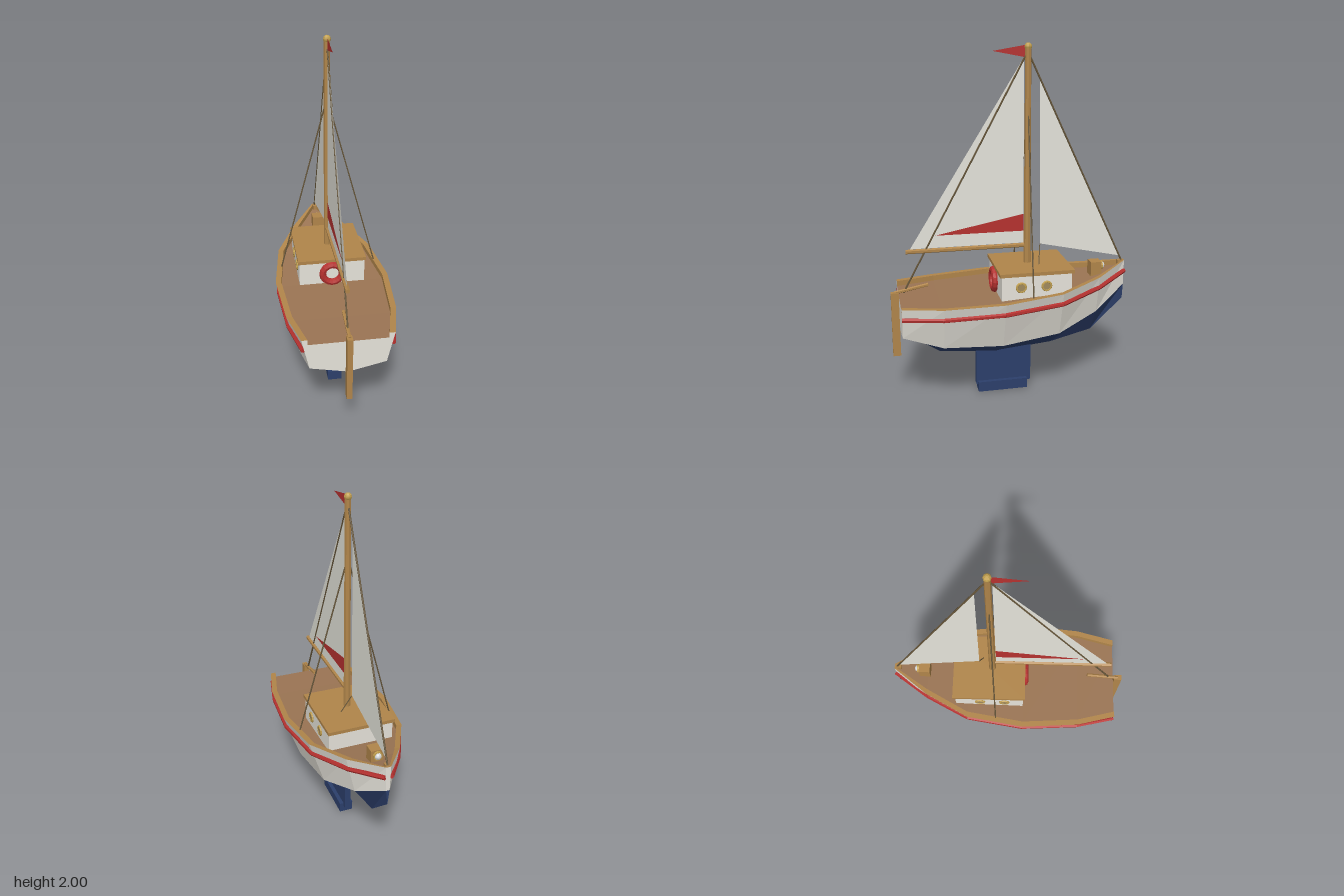
import * as THREE from 'three';

const mat = (name, color) => {
  const m = new THREE.MeshStandardMaterial({ color, flatShading: true, side: THREE.DoubleSide });
  m.name = name;
  return m;
};

// Hull stations, stern to bow: z, sheer half-width, sheer y, chine half-width, chine y, keel y
const STATIONS = [
  [0.64, 0.245, 0.635, 0.205, 0.455, 0.41],
  [0.42, 0.3, 0.635, 0.225, 0.385, 0.265],
  [0.09, 0.325, 0.647, 0.23, 0.37, 0.235],
  [-0.24, 0.278, 0.667, 0.195, 0.4, 0.265],
  [-0.485, 0.155, 0.703, 0.105, 0.48, 0.325],
  [-0.68, 0.014, 0.75, 0.01, 0.6, 0.51],
].map(([z, sx, sy, cx, cy, ky]) => ({ z, sx, sy, cx, cy, ky, ix: Math.max(sx - 0.032, 0.003), dy: sy - 0.03 }));

// Faceted skin through a list of cross-sections
function loft(sections) {
  const w = sections[0].length, index = [];
  for (let i = 0; i < sections.length - 1; i++)
    for (let j = 0; j < w - 1; j++) {
      const a = i * w + j, d = a + w;
      index.push(a, d, d + 1, a, d + 1, a + 1);
    }
  let g = new THREE.BufferGeometry();
  g.setAttribute('position', new THREE.Float32BufferAttribute(sections.flat(2), 3));
  g.setIndex(index);
  g = g.toNonIndexed();
  g.computeVertexNormals();
  return g;
}

// Flat polygon in the xy plane
const plate = (pts) => new THREE.ShapeGeometry(new THREE.Shape(pts.map(([x, y]) => new THREE.Vector2(x, y))));

export function createModel() {
  const white = mat('hull white', 0xe6e3da), navy = mat('navy', 0x2c3f6b), red = mat('red', 0xb5312f);
  const wood = mat('light wood', 0xb0854a), deckWood = mat('deck wood', 0x9a7453), brass = mat('brass', 0xc2a050);
  const rope = mat('rope', 0x66563a), sail = mat('sail cloth', 0xe4e3da), glass = mat('window glass', 0xa08a5c);
  const lampGlass = mat('lamp glass', 0xd8dadc);

  const boat = new THREE.Group();
  boat.name = 'sailboat';
  const add = (name, geo, material, x = 0, y = 0, z = 0) => {
    const m = new THREE.Mesh(geo, material);
    m.name = name;
    m.position.set(x, y, z);
    boat.add(m);
    return m;
  };
  // Box given by its limits along y and z, centred on x = 0
  const box = (name, width, y0, y1, z0, z1, material) =>
    add(name, new THREE.BoxGeometry(width, y1 - y0, z1 - z0), material, 0, (y0 + y1) / 2, (z0 + z1) / 2);
  // Round bar between two points
  const rod = (name, p, q, r, material, rEnd = r, sides = 6) => {
    const a = new THREE.Vector3(...p), b = new THREE.Vector3(...q), d = b.clone().sub(a);
    const m = add(name, new THREE.CylinderGeometry(rEnd, r, d.length(), sides), material);
    m.position.copy(a).add(b).multiplyScalar(0.5);
    m.quaternion.setFromUnitVectors(new THREE.Vector3(0, 1, 0), d.normalize());
    return m;
  };
  // Flat cloth in the centre plane, corners as [z, y]
  const cloth = (name, pts, material, x = 0) => {
    const m = add(name, plate(pts.map(([z, y]) => [-z, y])), material, x);
    m.rotation.y = Math.PI / 2;
    return m;
  };

  // Hull
  add('hullBottom', loft(STATIONS.map(s => [[-s.cx, s.cy, s.z], [0, s.ky, s.z], [s.cx, s.cy, s.z]])), navy);
  add('hullSideLeft', loft(STATIONS.map(s => [[s.cx, s.cy, s.z], [s.sx, s.sy, s.z]])), white);
  add('hullSideRight', loft(STATIONS.map(s => [[-s.sx, s.sy, s.z], [-s.cx, s.cy, s.z]])), white);
  const st = STATIONS[0], bow = STATIONS[STATIONS.length - 1];
  add('transom', plate([[0, st.ky], [st.cx, st.cy], [st.sx, st.sy], [st.ix, st.sy], [st.ix, st.dy],
    [-st.ix, st.dy], [-st.ix, st.sy], [-st.sx, st.sy], [-st.cx, st.cy]]), white, 0, 0, st.z);
  add('stemUpper', plate([[-bow.cx, bow.cy], [bow.cx, bow.cy], [bow.sx, bow.sy], [-bow.sx, bow.sy]]),
    white, 0, 0, bow.z).rotation.y = Math.PI;
  add('stemLower', plate([[0, bow.ky], [bow.cx, bow.cy], [-bow.cx, bow.cy]]), navy, 0, 0, bow.z).rotation.y = Math.PI;
  box('stemHead', 0.02, 0.725, 0.752, -0.679, -0.64, wood);

  // Deck, gunwales and rubbing strakes
  add('deck', loft(STATIONS.map(s => [[s.ix, s.dy, s.z], [-s.ix, s.dy, s.z]])), deckWood);
  add('gunwaleLeft', loft(STATIONS.map(s => [[s.sx, s.sy, s.z], [s.ix, s.sy, s.z], [s.ix, s.dy, s.z]])), wood);
  add('gunwaleRight', loft(STATIONS.map(s => [[-s.ix, s.dy, s.z], [-s.ix, s.sy, s.z], [-s.sx, s.sy, s.z]])), wood);
  for (const side of [1, -1]) {
    const path = STATIONS.map(s => {
      const t = 0.063 / (s.sy - s.cy);
      return [side * (s.sx + (s.cx - s.sx) * t + 0.006), s.sy - 0.063, s.z];
    });
    for (let i = 0; i < path.length - 1; i++) rod('rubbingStrake', path[i], path[i + 1], 0.013, red);
  }

  // Keel, rudder and tiller
  box('keelFin', 0.035, 0.04, 0.3, -0.115, 0.21, navy);
  box('keelBulb', 0.08, 0.003, 0.06, -0.09, 0.2, navy);
  box('keelSole', 0.08, 0, 0.01, -0.09, 0.2, navy);
  box('rudder', 0.03, 0.265, 0.645, 0.643, 0.687, wood);
  rod('tiller', [0, 0.643, 0.665], [0, 0.68, 0.475], 0.01, wood);

  // Cabin with portholes
  box('cabin', 0.375, 0.6, 0.757, -0.31, 0.09, white);
  box('cabinRoof', 0.39, 0.755, 0.775, -0.325, 0.1, wood);
  for (const side of [1, -1])
    for (const z of [-0.02, -0.165]) {
      add('portholeRim', new THREE.TorusGeometry(0.025, 0.007, 6, 12), brass, side * 0.189, 0.69, z).rotation.y = Math.PI / 2;
      add('portholeGlass', new THREE.CylinderGeometry(0.024, 0.024, 0.008, 12), glass, side * 0.189, 0.69, z).rotation.z = Math.PI / 2;
    }
  add('lifeRing', new THREE.TorusGeometry(0.056, 0.02, 8, 16), red, 0, 0.685, 0.1);

  // Foredeck locker with a lamp
  box('foredeckLocker', 0.07, 0.66, 0.755, -0.535, -0.47, wood);
  add('lampRim', new THREE.CylinderGeometry(0.026, 0.026, 0.014, 10), brass, 0, 0.725, -0.54).rotation.x = Math.PI / 2;
  add('lamp', new THREE.SphereGeometry(0.021, 8, 6), lampGlass, 0, 0.725, -0.543);

  // Mast and boom
  rod('mast', [0, 0.62, -0.095], [0, 1.97, -0.095], 0.021, wood, 0.017, 8);
  add('mastCap', new THREE.SphereGeometry(0.021, 8, 6), brass, 0, 1.979, -0.095);
  rod('boom', [0, 0.878, -0.09], [0, 0.878, 0.595], 0.013, wood);

  // Sails and pennant
  cloth('mainsail', [[0.57, 0.892], [-0.073, 0.892], [-0.073, 1.925]], sail);
  cloth('jib', [[-0.17, 0.88], [-0.65, 0.777], [-0.16, 1.82]], sail);
  for (const x of [0.003, -0.003])
    cloth('mainsailStripe', [[0.43, 0.963], [-0.072, 0.963], [-0.072, 1.062]], red, x);
  cloth('pennant', [[0.1, 1.957], [-0.085, 1.922], [-0.085, 1.988]], red);

  // Rigging
  rod('backstay', [0, 0.64, 0.615], [0, 1.93, -0.08], 0.005, rope);
  rod('forestay', [0, 0.74, -0.67], [0, 1.93, -0.105], 0.005, rope);
  rod('jibSheet', [0, 0.88, -0.17], [0.06, 0.77, -0.15], 0.003, rope);
  for (const side of [1, -1])
    rod('shroud', [side * 0.278, 0.645, -0.07], [side * 0.012, 1.62, -0.095], 0.004, rope);

  return boat;
}
